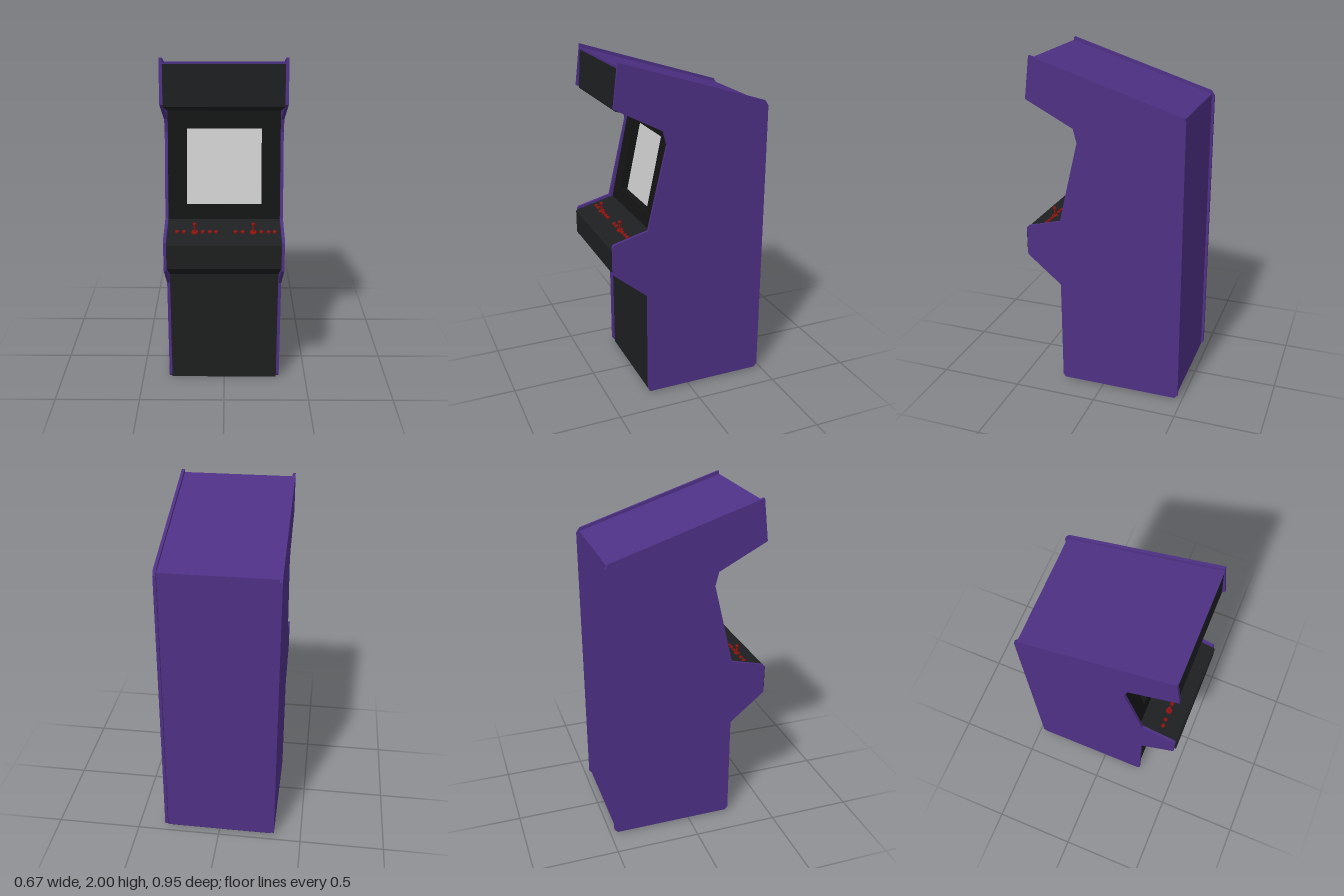
import * as THREE from 'three';

const mat = (color) => new THREE.MeshStandardMaterial({ color });

// Extrude a (z, y) side profile across x, centred on cx
function slab(name, points, width, cx, material) {
  const shape = new THREE.Shape(points.map(([z, y]) => new THREE.Vector2(z, y)));
  const geo = new THREE.ExtrudeGeometry(shape, { depth: width, bevelEnabled: false });
  geo.rotateY(-Math.PI / 2).translate(cx + width / 2, 0, 0);
  const mesh = new THREE.Mesh(geo, material);
  mesh.name = name;
  return mesh;
}

export function createModel() {
  const model = new THREE.Group();
  model.name = 'arcadeCabinet';
  const purple = mat(0x4d3084), black = mat(0x1d1f20), dark = mat(0x131414);
  const red = mat(0x8a1410), grey = mat(0xcccccc);
  const add = (parent, name, geo, material, x = 0, y = 0, z = 0) => {
    const mesh = new THREE.Mesh(geo, material);
    mesh.name = name;
    mesh.position.set(x, y, z);
    parent.add(mesh);
    return mesh;
  };

  // Side panels
  const side = [
    [0.41, 2], [0.44, 1.76], [0.16, 1.615], [0.14, 1.535], [0.255, 1.055],
    [0.455, 1.003], [0.465, 0.99], [0.465, 0.82], [0.26, 0.65], [0.26, 0.03], [0.245, 0.01],
    [-0.455, 0.01], [-0.475, 0.03], [-0.475, 1.7], [-0.455, 1.73],
  ];
  model.add(slab('leftSidePanel', side, 0.017, 0.3285, purple));
  model.add(slab('rightSidePanel', side, 0.017, -0.3285, purple));

  // Dark inner body: marquee, control deck, lower front and base
  model.add(slab('body', [
    [0.41, 1.969], [0.425, 1.745], [0.105, 1.65], [0.044, 1.65], [0.174, 1.045],
    [0.25, 1.04], [0.462, 0.987], [0.475, 0.978], [0.475, 0.84], [0.245, 0.7],
    [0.245, 0], [-0.45, 0], [-0.45, 1.702],
  ], 0.64, 0, black));

  // Sloping roof and back, set in between the side panels
  model.add(slab('roofAndBack', [
    [0.413, 1.98], [0.413, 1.968], [-0.45, 1.7], [-0.45, 0.01], [-0.46, 0.01], [-0.46, 1.712],
  ], 0.64, 0, purple));

  // Tilted screen surround with a recessed screen
  const display = new THREE.Group();
  display.name = 'display';
  display.position.set(0, 1.045, 0.235);
  display.rotation.x = -0.213;
  const frame = new THREE.Shape([[-0.32, 0], [0.32, 0], [0.32, 0.618], [-0.32, 0.618]]
    .map(([x, y]) => new THREE.Vector2(x, y)));
  frame.holes.push(new THREE.Path([[-0.215, 0.08], [-0.215, 0.52], [0.215, 0.52], [0.215, 0.08]]
    .map(([x, y]) => new THREE.Vector2(x, y))));
  add(display, 'screenSurround',
    new THREE.ExtrudeGeometry(frame, { depth: 0.06, bevelEnabled: false }), dark, 0, 0, -0.06);
  add(display, 'screen', new THREE.BoxGeometry(0.43, 0.44, 0.012), grey, 0, 0.3, -0.052);
  model.add(display);

  // Two sets of controls on the sloping deck
  const deck = new THREE.Group();
  deck.name = 'controls';
  deck.position.set(0, 1.0125, 0.36);
  deck.rotation.x = 0.25;
  for (const x of [-0.165, 0.165]) {
    add(deck, 'joystickBase', new THREE.CylinderGeometry(0.018, 0.02, 0.006, 16), red, x, 0.003, 0);
    const stick = new THREE.Group();
    stick.name = 'joystick';
    stick.position.x = x;
    stick.rotation.x = -0.25;
    add(stick, 'joystickShaft', new THREE.CylinderGeometry(0.005, 0.006, 0.045, 12), red, 0, 0.023, 0);
    add(stick, 'joystickKnob', new THREE.SphereGeometry(0.011, 16, 12), red, 0, 0.049, 0);
    deck.add(stick);
    for (const dx of [-0.1, -0.06, 0.045, 0.085, 0.12]) {
      add(deck, 'button', new THREE.CylinderGeometry(0.011, 0.012, 0.008, 16), red, x + dx, 0.004, 0);
    }
  }
  model.add(deck);

  return model;
}
